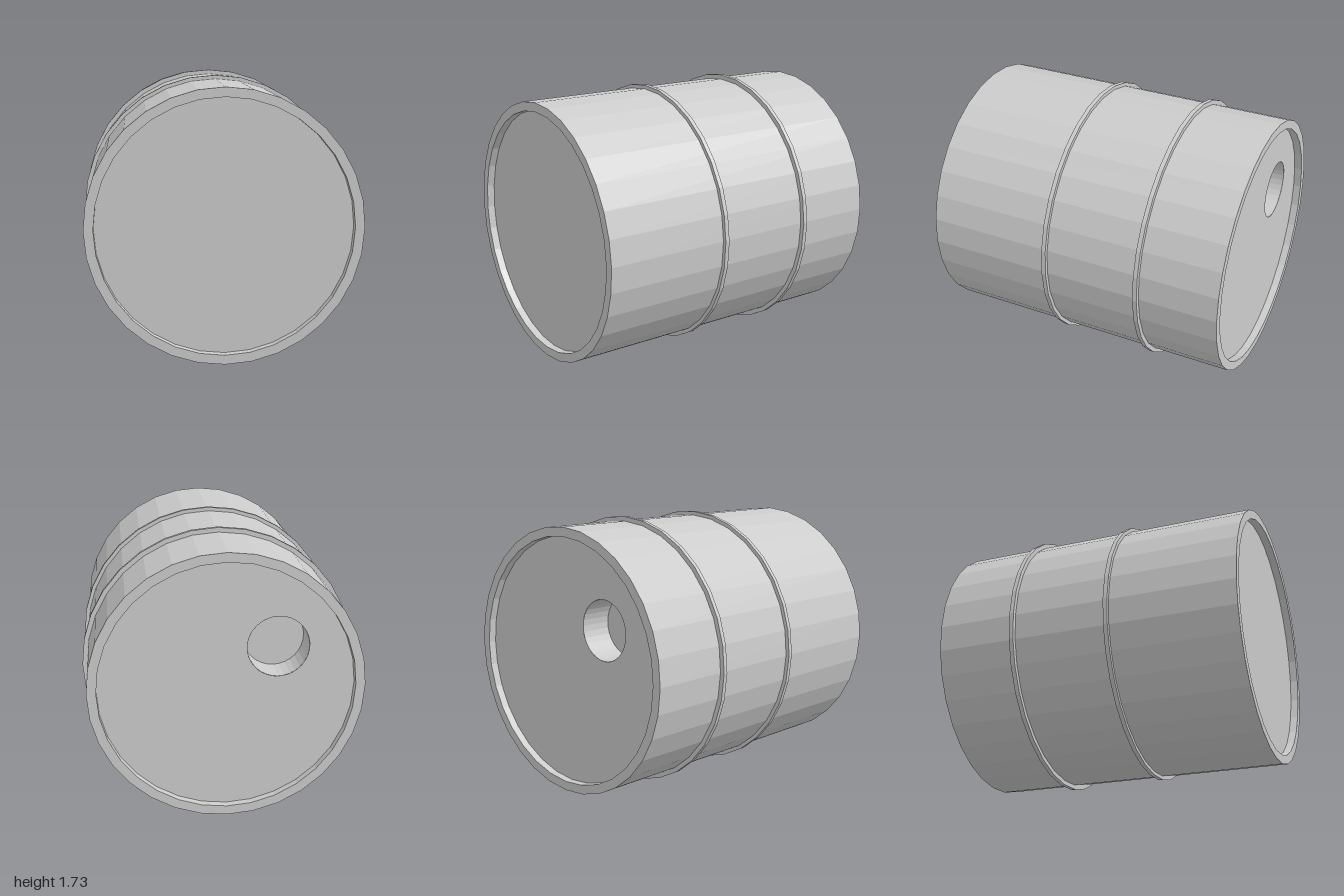
import * as THREE from 'three';

const SIDES = 32;
const R = 0.833, RIM = 0.775, HALF = 0.985, RECESS = 0.05;
const HOLE = { x: -0.31, y: 0.24, r: 0.187, depth: 0.2 };

function mat(side = THREE.FrontSide) {
  return new THREE.MeshStandardMaterial({ color: 0xcccccc, flatShading: true, side });
}

function part(name, geometry, parent, side) {
  const mesh = new THREE.Mesh(geometry, mat(side));
  mesh.name = name;
  parent.add(mesh);
  return mesh;
}

// Lathe whose axis runs along z; points are [radius, z]
function lathe(points) {
  const profile = points.map(([r, z]) => new THREE.Vector2(r, z));
  return new THREE.LatheGeometry(profile, SIDES).rotateX(Math.PI / 2);
}

export function createModel() {
  const model = new THREE.Group();
  model.name = 'barrel';

  // Drum lies on its side, tipped one degree towards the front
  const drum = new THREE.Group();
  drum.name = 'drum';
  drum.position.y = 0.861;
  drum.rotation.x = THREE.MathUtils.degToRad(1);
  model.add(drum);

  // Shell with raised rims at both ends and a closed, recessed front lid
  part('shell', lathe([
    [RIM, -HALF + RECESS], [RIM, -HALF], [R, -HALF], [R, HALF],
    [RIM, HALF], [RIM, HALF - RECESS], [0, HALF - RECESS],
  ]), drum);

  // Two raised hoops
  for (const [name, z, r] of [['frontHoop', 0.153, 0.857], ['backHoop', -0.478, 0.862]]) {
    const w = 0.014;
    const hoop = part(name, lathe([[R - 0.02, -w], [r, -w], [r, w], [R - 0.02, w]]), drum);
    hoop.position.z = z + 0.015;
  }

  // Back lid with a filler hole
  const lid = new THREE.Shape().absarc(0, 0, RIM, 0, Math.PI * 2);
  lid.holes.push(new THREE.Path().absarc(-HOLE.x, HOLE.y, HOLE.r, 0, Math.PI * 2, true));
  const backLid = part('backLid', new THREE.ShapeGeometry(lid, SIDES).rotateY(Math.PI), drum);
  backLid.position.z = -HALF + RECESS;

  // Filler hole wall and floor
  const wall = part('fillerWall',
    new THREE.CylinderGeometry(HOLE.r, HOLE.r, HOLE.depth, SIDES, 1, true).rotateX(Math.PI / 2),
    drum, THREE.DoubleSide);
  wall.position.set(HOLE.x, HOLE.y, -HALF + RECESS + HOLE.depth / 2);
  const floor = part('fillerFloor', new THREE.CircleGeometry(HOLE.r, SIDES).rotateY(Math.PI), drum);
  floor.position.set(HOLE.x, HOLE.y, -HALF + RECESS + HOLE.depth);

  return model;
}
